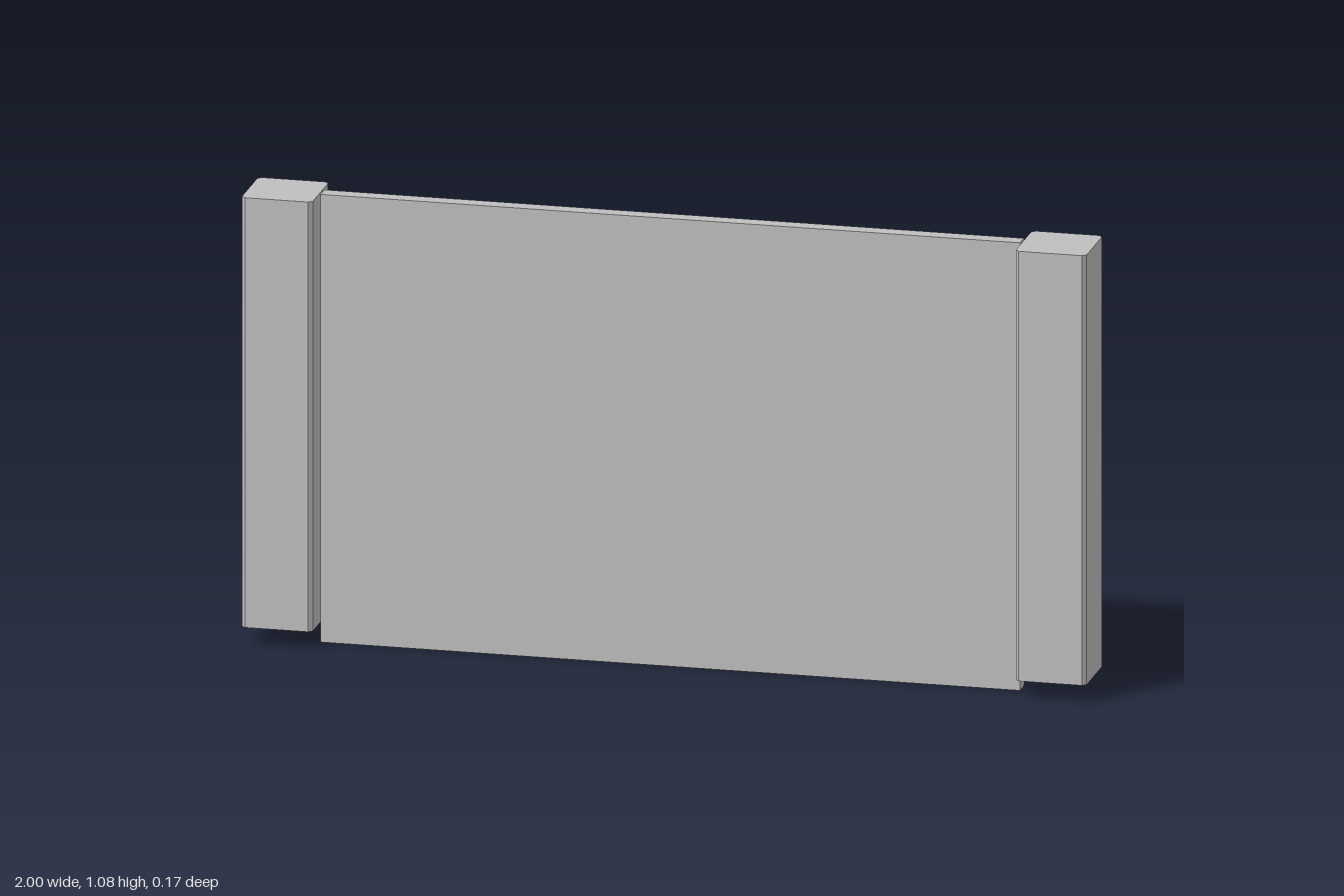
import * as THREE from 'three';

export function createModel() {
  const model = new THREE.Group();
  model.name = 'fencePanel';
  const grey = new THREE.MeshStandardMaterial({ color: 0xbfbfbf });
  grey.name = 'grey';

  const extrude = (points, depth) => new THREE.ExtrudeGeometry(
    new THREE.Shape(points.map(([x, y]) => new THREE.Vector2(x, y))),
    { depth, bevelEnabled: false });

  const add = (name, geometry, x, y, z) => {
    const mesh = new THREE.Mesh(geometry, grey);
    mesh.name = name;
    mesh.position.set(x, y, z);
    model.add(mesh);
  };

  // Square posts with chamfered vertical edges
  const h = 0.084, c = 0.009, k = h - c;
  const postGeometry = extrude(
    [[-k, -h], [k, -h], [h, -k], [h, k], [k, h], [-k, h], [-h, k], [-h, -k]], 1.032);
  postGeometry.rotateX(-Math.PI / 2);
  add('leftPost', postGeometry, 1 - h, 0.043, 0);
  add('rightPost', postGeometry, h - 1, 0.043, 0);

  // Stacked boards: flat front, V-grooved back; every other one is jointed
  const rows = 5, boardHeight = 1.075 / rows, end = 0.828, joint = 0.38;
  const front = -0.017, back = 0.035, v = 0.014;
  const profile = [[front, 0], [back - v, 0], [back, v],
    [back, boardHeight - v], [back - v, boardHeight], [front, boardHeight]];

  for (let i = 0; i < rows; i++) {
    const cuts = i % 2 ? [-end, joint, end] : [-end, end];
    for (let j = 0; j < cuts.length - 1; j++) {
      const board = extrude(profile, cuts[j + 1] - cuts[j]);
      board.rotateY(Math.PI / 2);
      add(`board${i + 1}${'ab'[j]}`, board, cuts[j], i * boardHeight, 0);
    }
  }
  return model;
}
